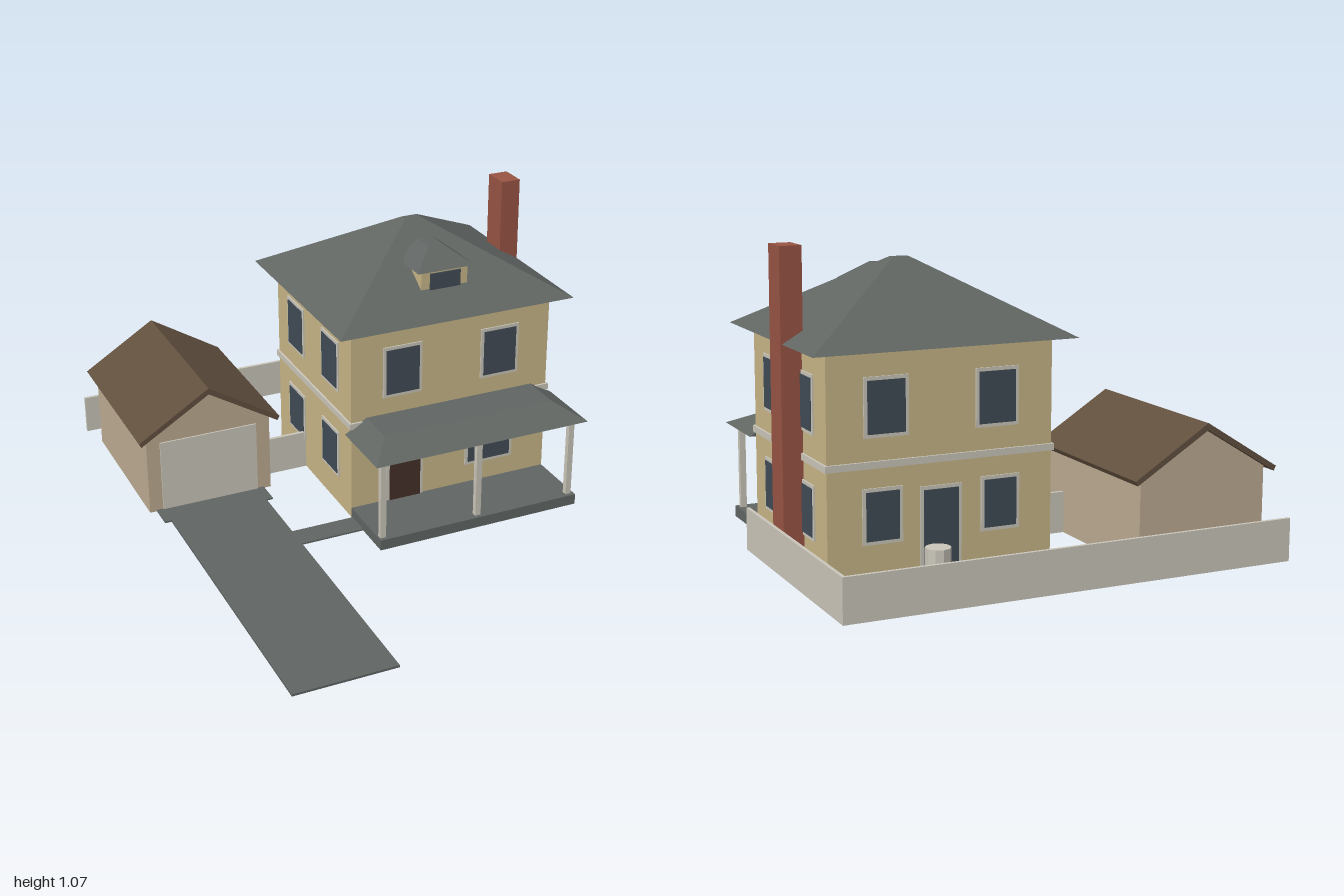
import * as THREE from 'three';

const mat = (name, color) => {
  const m = new THREE.MeshStandardMaterial({ color });
  m.name = name;
  return m;
};

export function createModel() {
  const wall = mat('yellow siding', 0xc8b688);
  const slate = mat('grey slate and asphalt', 0x606562);
  const trim = mat('pale trim', 0xcac6ba);
  const glass = mat('dark glass', 0x414b55);
  const wood = mat('dark door wood', 0x45302a);
  const brick = mat('red brick', 0x985443);
  const stucco = mat('garage stucco', 0xbcab92);
  const brown = mat('brown shingles', 0x62503f);

  const root = new THREE.Group();
  root.name = 'houseWithGarage';

  const add = (name, geometry, material, parent = root) => {
    const mesh = new THREE.Mesh(geometry, material);
    mesh.name = name;
    parent.add(mesh);
    return mesh;
  };

  // Box given by its limits on each axis
  const box = (name, material, [x0, x1], [y0, y1], [z0, z1], parent = root) => {
    const mesh = add(name, new THREE.BoxGeometry(x1 - x0, y1 - y0, z1 - z0), material, parent);
    mesh.position.set((x0 + x1) / 2, (y0 + y1) / 2, (z0 + z1) / 2);
    return mesh;
  };

  // Hipped block: a box whose upper four corners move to a smaller rectangle
  const hip = (name, material, [bx0, bx1, bz0, bz1], [tx0, tx1, tz0, tz1], y0, y1) => {
    const g = new THREE.BoxGeometry(1, 1, 1).toNonIndexed();
    const p = g.attributes.position;
    for (let i = 0; i < p.count; i++) {
      const top = p.getY(i) > 0, right = p.getX(i) > 0, front = p.getZ(i) > 0;
      const x = top ? (right ? tx1 : tx0) : (right ? bx1 : bx0);
      const z = top ? (front ? tz1 : tz0) : (front ? bz1 : bz0);
      p.setXYZ(i, x, top ? y1 : y0, z);
    }
    g.computeVertexNormals();
    return add(name, g, material);
  };

  // Profile in x and y extruded from z0 to z1
  const prism = (name, material, points, z0, z1) => {
    const shape = new THREE.Shape(points.map(([x, y]) => new THREE.Vector2(x, y)));
    const g = new THREE.ExtrudeGeometry(shape, { depth: z1 - z0, bevelEnabled: false });
    g.translate(0, 0, z0);
    return add(name, g, material);
  };

  // House body and trim band between the floors
  const L = -0.105, R = 0.695, F = 0.08, B = -0.61;
  box('houseBody', wall, [L, R], [0, 0.75], [B, F]);
  box('floorBand', trim, [L - 0.008, R + 0.008], [0.367, 0.39], [B - 0.008, F + 0.008]);

  // Main roof
  hip('mainRoof', slate, [-0.17, 0.762, -0.68, 0.14], [0.265, 0.325, -0.283, -0.255], 0.75, 1.0);

  // Framed opening on a wall; u runs along the wall, turned to face outward
  const sides = {
    front: (g, u) => g.position.set(u, 0, F),
    back: (g, u) => { g.position.set(u, 0, B); g.rotation.y = Math.PI; },
    left: (g, u) => { g.position.set(R, 0, u); g.rotation.y = Math.PI / 2; },
    right: (g, u) => { g.position.set(L, 0, u); g.rotation.y = -Math.PI / 2; },
  };
  const opening = (name, side, u, y0, y1, width, fill = glass, sill = 0.012) => {
    const g = new THREE.Group();
    g.name = name;
    const w = width / 2, b = 0.012;
    box('frame', trim, [-w, w], [y0, y1], [-0.002, 0.005], g);
    box('pane', fill, [b - w, w - b], [y0 + sill, y1 - b], [0, 0.008], g);
    sides[side](g, u);
    root.add(g);
  };

  // Windows
  for (const side of ['front', 'back']) {
    for (const x of [0.097, 0.491]) opening('upperWindow', side, x, 0.466, 0.664, 0.155);
  }
  for (const side of ['left', 'right']) {
    for (const z of [-0.104, -0.426]) {
      opening('upperWindow', side, z, 0.466, 0.664, 0.155);
      opening('lowerWindow', side, z, 0.116, 0.302, 0.155);
    }
  }
  opening('frontRoomWindow', 'front', 0.458, 0.116, 0.302, 0.198);
  for (const x of [0.085, 0.505]) opening('lowerWindow', 'back', x, 0.116, 0.302, 0.14);

  // Doors
  opening('frontDoor', 'front', 0.109, 0.04, 0.288, 0.148, wood, 0);
  opening('backDoor', 'back', 0.3, 0, 0.29, 0.148, glass, 0);

  // Porch
  box('porchFloor', slate, [L, R], [0, 0.04], [F, 0.335]);
  for (const x of [-0.088, 0.293, 0.673]) {
    box('porchPost', trim, [x - 0.011, x + 0.011], [0.04, 0.353], [0.3, 0.32]);
  }
  hip('porchRoof', slate, [-0.13, 0.718, F, 0.355], [-0.045, 0.63, F, 0.238], 0.35, 0.4);

  // Dormer
  box('dormerWall', wall, [0.2, 0.385], [0.78, 0.905], [-0.11, 0.015]);
  box('dormerWindow', glass, [0.234, 0.355], [0.826, 0.888], [0.014, 0.021]);
  hip('dormerRoof', slate, [0.18, 0.405, -0.145, 0.032], [0.265, 0.32, -0.145, -0.062], 0.9, 0.963);

  // Chimney
  box('chimney', brick, [0.69, 0.766], [0, 1.066], [-0.4, -0.296]);

  // Garage
  const c = -0.531;
  prism('garageBody', stucco,
    [[c - 0.24, 0], [c + 0.24, 0], [c + 0.24, 0.31], [c, 0.455], [c - 0.24, 0.31]], -0.88, -0.26);
  prism('garageRoof', brown,
    [[c - 0.265, 0.29], [c, 0.452], [c + 0.265, 0.29], [c + 0.273, 0.306], [c, 0.476], [c - 0.273, 0.306]],
    -0.905, -0.235);
  box('garageDoor', trim, [-0.72, -0.345], [0, 0.282], [-0.262, -0.254]);

  // Paving
  box('driveway', slate, [-0.72, -0.347], [0, 0.008], [-0.2, 1]);
  box('garageApron', slate, [-0.745, -0.32], [0, 0.006], [-0.26, -0.165]);
  box('frontPath', slate, [-0.347, L], [0, 0.006], [0.09, 0.183]);

  // Fences
  box('backFence', trim, [-0.8, 0.797], [0, 0.148], [-1, -0.988]);
  box('sideFence', trim, [0.785, 0.797], [0, 0.148], [-0.988, -0.108]);
  box('gateFence', trim, [-0.291, L], [0, 0.148], [-0.366, -0.353]);

  // Yard bench and bin
  box('benchSeat', brown, [0.08, 0.266], [0.058, 0.076], [-0.887, -0.82]);
  for (const x of [0.1, 0.246]) {
    box('benchLeg', brown, [x - 0.01, x + 0.01], [0, 0.058], [-0.88, -0.827]);
  }
  const bin = new THREE.CylinderGeometry(0.043, 0.043, 0.125, 10).toNonIndexed();
  bin.computeVertexNormals();
  add('yardBin', bin, trim).position.set(0.373, 0.0625, -0.75);

  return root;
}
